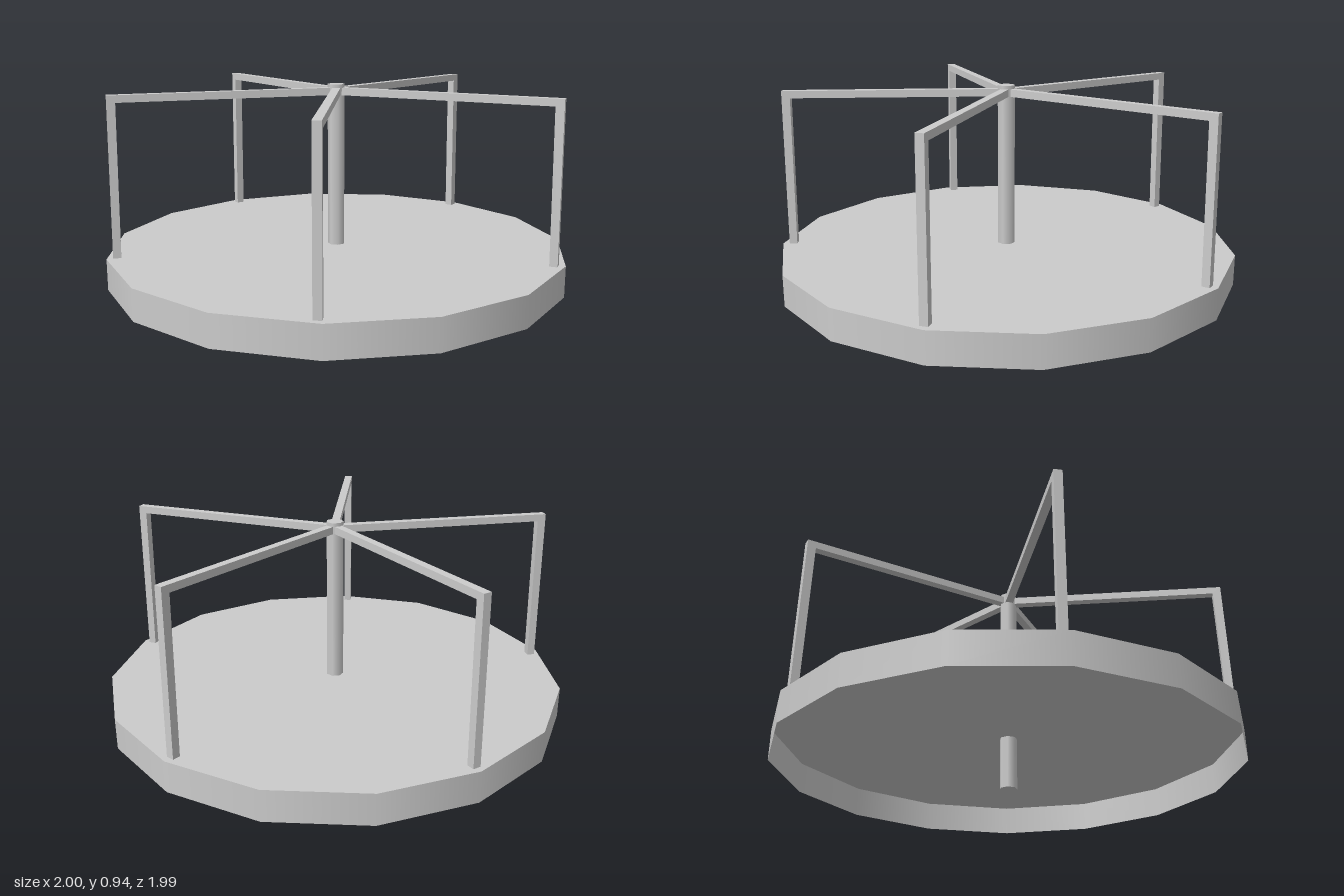
import * as THREE from 'three';

const DECK_SIDES = 15, DECK_RADIUS = 1.0055;
const DECK_TOP = 0.227, DECK_HEIGHT = 0.135;
const RAIL_ANGLES = [6.6, 79, 151.4, 221.9, 294.1]; // slightly uneven, in degrees
const RAIL_WIDTH = 0.035;

export function createModel() {
  const material = new THREE.MeshStandardMaterial({ color: 0xcccccc });
  const sheet = new THREE.MeshStandardMaterial({ color: 0xcccccc, side: THREE.DoubleSide });
  const group = new THREE.Group();
  group.name = 'merryGoRound';

  const add = (name, geometry, mat, x, y, z) => {
    const mesh = new THREE.Mesh(geometry, mat);
    mesh.name = name;
    mesh.position.set(x, y, z);
    group.add(mesh);
    return mesh;
  };

  // Fifteen-sided platform, hollow and open underneath, one corner to the back
  const top = new THREE.CircleGeometry(DECK_RADIUS, DECK_SIDES, Math.PI / 2);
  add('deckTop', top.rotateX(-Math.PI / 2), sheet, 0, DECK_TOP, 0.011);
  const skirt = new THREE.CylinderGeometry(DECK_RADIUS, DECK_RADIUS, DECK_HEIGHT, DECK_SIDES, 1, true);
  add('deckSkirt', skirt.rotateY(Math.PI), sheet, 0, DECK_TOP - DECK_HEIGHT / 2, 0.011);

  // Central axle, passing through the platform down to the ground
  const axle = new THREE.CylinderGeometry(0.038, 0.038, 0.94, 7);
  add('axle', axle.rotateY(Math.PI), material, -0.002, 0.47, 0.013);

  // Bent handrail: an arm falling slightly outwards and a post splayed at the foot
  const profile = new THREE.Shape([
    [0, 0.893], [0.934, 0.885], [0.943, DECK_TOP], [0.977, DECK_TOP], [0.97, 0.916], [0, 0.925],
  ].map(([x, y]) => new THREE.Vector2(x, y)));
  const rail = new THREE.ExtrudeGeometry(profile, { depth: RAIL_WIDTH, bevelEnabled: false });
  rail.translate(0, 0, -RAIL_WIDTH / 2);

  RAIL_ANGLES.forEach((angle, i) => {
    const mesh = add(`handrail${i + 1}`, rail, material, -0.001, 0, 0.011);
    mesh.rotation.y = -THREE.MathUtils.degToRad(angle);
  });
  return group;
}
